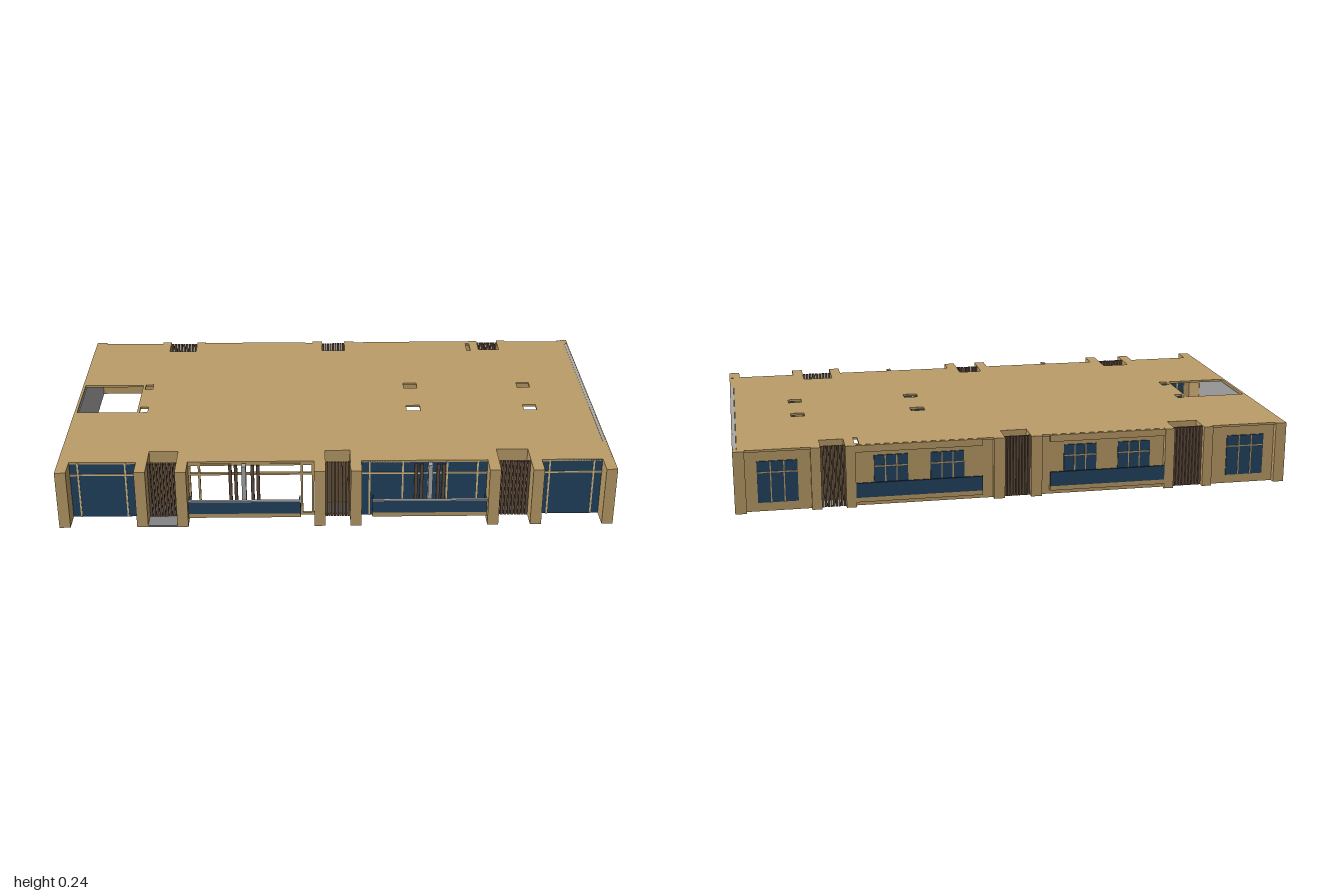
import * as THREE from 'three';

export function createModel() {
  const model = new THREE.Group();
  model.name = 'buildingStorey';
  const mat = (name, color) => {
    const m = new THREE.MeshStandardMaterial({ color });
    m.name = name;
    return m;
  };
  const tan = mat('tanRender', 0xbc9d68);
  const blue = mat('blueGlass', 0x234361);
  const brown = mat('brownLouvre', 0x5f4b3c);
  const wallGrey = mat('paleGrey', 0xaaaaaa);
  const floorGrey = mat('midGrey', 0x858585);
  const cream = mat('creamMullion', 0xd8bf86);

  const Y0 = 0.013, Y1 = 0.238, ROOF = 0.008;
  const FRONT = 0.49, BACK = -0.56, NICHE_F = 0.41, NICHE_B = -0.48;

  // Box given by its limits on each axis
  const box = (name, m, x0, x1, y0, y1, z0, z1, parent = model) => {
    const mesh = new THREE.Mesh(new THREE.BoxGeometry(x1 - x0, y1 - y0, z1 - z0), m);
    mesh.position.set((x0 + x1) / 2, (y0 + y1) / 2, (z0 + z1) / 2);
    mesh.name = name;
    parent.add(mesh);
    return mesh;
  };
  const group = (name) => {
    const g = new THREE.Group();
    g.name = name;
    model.add(g);
    return g;
  };

  // Recesses along the front and back edges
  const frontNiches = [[-0.68, -0.575], [-0.04, 0.05], [0.585, 0.70]];
  const backNiches = [[-0.685, -0.575], [-0.045, 0.05], [0.615, 0.70]];

  // Roof slab with edge notches and openings
  const outline = [[-1, FRONT]];
  for (const [a, b] of frontNiches) outline.push([a, FRONT], [a, NICHE_F], [b, NICHE_F], [b, FRONT]);
  outline.push([0.985, FRONT], [0.985, BACK]);
  for (const [a, b] of [...backNiches].reverse()) outline.push([b, BACK], [b, NICHE_B], [a, NICHE_B], [a, BACK]);
  outline.push([-1, BACK]);
  const toShape = (pts) => pts.map(([x, z]) => new THREE.Vector2(x, -z));
  const roofShape = new THREE.Shape(toShape(outline));
  const openings = [[-0.99, -0.76, -0.15, 0.09], [0.565, 0.58, -0.545, -0.47]];
  for (const [x0, x1] of [[-0.75, -0.72], [0.277, 0.33], [0.73, 0.78]]) {
    openings.push([x0, x1, -0.155, -0.11], [x0, x1, 0.045, 0.09]);
  }
  for (const [a, b, c, d] of openings) {
    roofShape.holes.push(new THREE.Path(toShape([[a, c], [b, c], [b, d], [a, d]])));
  }
  const roofGeo = new THREE.ExtrudeGeometry(roofShape, { depth: ROOF, bevelEnabled: false });
  roofGeo.rotateX(-Math.PI / 2);
  const roof = new THREE.Mesh(roofGeo, tan);
  roof.position.y = Y1 - ROOF;
  roof.name = 'roofSlab';
  model.add(roof);

  // Side walls: tan skin outside, grey lining inside
  for (const s of [-1, 1]) {
    const side = group(s > 0 ? 'leftWall' : 'rightWall');
    const span = (a, b) => (s > 0 ? [a, b] : [-b, -a]);
    box('skin', tan, ...span(0.997, 1), Y0, Y1, -0.57, 0.565, side);
    box('lining', wallGrey, ...span(0.986, 0.997), Y0, s > 0 ? Y1 - 0.001 : Y1 - ROOF, BACK, 0.35, side);
    box('frontEnd', tan, ...span(0.985, 0.997), Y0, Y1 - 0.001, 0.35, FRONT, side);
  }

  // Front piers
  const frontPiers = [[-1, -0.96], [-0.72, -0.68], [-0.575, -0.535], [-0.08, -0.04],
    [0.05, 0.09], [0.545, 0.585], [0.70, 0.74], [0.96, 1]];
  for (const [a, b] of frontPiers) box('frontPier', tan, a, b, Y0, Y1, 0.48, 0.567);

  // Louvred recess: side and back walls, floor, vertical slats
  const niche = (name, [a, b], zIn, zOut, zSlat, floorMat) => {
    const g = group(name);
    const lo = Math.min(zIn, zOut), hi = Math.max(zIn, zOut), t = 0.008, top = Y1 - ROOF;
    const d = zOut > zIn ? -t : t;
    box('cheek', tan, a - t, a, Y0, top, lo, hi, g);
    box('cheek', tan, b, b + t, Y0, top, lo, hi, g);
    box('nicheBack', tan, a - t, b + t, Y0, top, Math.min(zIn, zIn + d), Math.max(zIn, zIn + d), g);
    if (floorMat) box('nicheFloor', floorMat, a, b, Y0, Y0 + 0.006, lo, hi, g);
    const n = 9, step = (b - a) / n;
    for (let i = 0; i < n; i++) {
      const x = a + step * (i + 0.5);
      box('slat', brown, x - step * 0.4, x + step * 0.4, Y0 + 0.002, Y1 - 0.001, zSlat - 0.005, zSlat + 0.005, g);
    }
  };
  frontNiches.forEach((r) => niche('frontRecess', r, NICHE_F, FRONT, 0.497, floorGrey));
  backNiches.forEach((r, i) => niche('backRecess', r, NICHE_B, -0.55, -0.552, i < 2 ? tan : null));
  box('recessLedge', floorGrey, -0.68, -0.575, Y0, Y0 + 0.006, FRONT, 0.567);

  // Small drain outlets below the recesses
  for (const x of [-0.61, 0.64]) box('drain', floorGrey, x - 0.003, x + 0.003, 0, Y0 + 0.002, 0.447, 0.453);

  // Front glazing with mullions and a transom
  const glazing = (name, x0, x1, mullions) => {
    const g = group(name);
    box('glass', blue, x0, x1, Y0, Y1 - 0.001, 0.484, 0.49, g);
    for (const x of mullions) box('mullion', cream, x - 0.003, x + 0.003, Y0, Y1 - 0.002, 0.481, 0.493, g);
    box('transom', cream, x0, x1, 0.184, 0.19, 0.481, 0.493, g);
  };
  glazing('frontWindowRight', -0.96, -0.72, [-0.93, -0.76]);
  glazing('frontWindowLeft', 0.74, 0.96, [0.77, 0.93]);
  glazing('balconyWindow', 0.09, 0.545, [0.12, 0.24, 0.40, 0.51]);

  // Open balcony bay: bare frame around a void
  const frame = group('openBayFrame');
  for (const x of [-0.53, -0.495, -0.125, -0.085]) {
    box('framePost', tan, x - 0.004, x + 0.004, Y0, Y1 - ROOF, 0.478, 0.488, frame);
  }
  for (const y of [0.018, 0.185, 0.224]) box('frameRail', tan, -0.535, -0.08, y - 0.004, y + 0.004, 0.478, 0.488, frame);

  // Front balconies: slab, blue parapet, divider and louvre posts
  for (const [a, b] of [[-0.535, -0.13], [0.13, 0.545]]) {
    const g = group('frontBalcony');
    const c = (a + b) / 2;
    box('balconySlab', tan, a, b, 0.03, 0.047, FRONT, 0.533, g);
    box('parapet', blue, a, b, 0.047, 0.096, 0.529, 0.535, g);
    box('rail', wallGrey, a, b, 0.096, 0.1, 0.526, 0.537, g);
    box('parapetEnd', blue, a, a + 0.005, 0.047, 0.096, FRONT, 0.53, g);
    box('parapetEnd', blue, b - 0.005, b, 0.047, 0.096, FRONT, 0.53, g);
    box('divider', wallGrey, c - 0.008, c + 0.008, 0.047, Y1 - 0.001, 0.503, 0.528, g);
    for (const dx of [-0.05, -0.03, 0.03, 0.05]) {
      box('louvrePost', brown, c + dx - 0.006, c + dx + 0.006, 0.047, Y1 - 0.012, 0.494, 0.502, g);
    }
  }

  // Back wall panels between the recesses
  const backEdges = [-0.985, -0.685, -0.575, -0.045, 0.05, 0.615, 0.70, 0.985];
  for (let i = 0; i < backEdges.length; i += 2) {
    box('backWall', tan, backEdges[i], backEdges[i + 1], Y0, Y1 - ROOF, -0.552, -0.54);
  }

  // Back piers
  const backPiers = [[-1, -0.96], [-0.72, -0.685], [-0.575, -0.54], [-0.085, -0.045],
    [0.05, 0.09], [0.58, 0.615], [0.70, 0.735], [0.96, 1]];
  for (const [a, b] of backPiers) box('backPier', tan, a, b, Y0, Y1, -0.572, -0.54);

  // Back windows: blue plate with thin bars
  const backWindow = (x0, x1, y0, y1, bars) => {
    const g = group('backWindow');
    box('pane', blue, x0, x1, y0, y1, -0.556, -0.551, g);
    for (let i = 1; i < bars; i++) {
      const x = x0 + ((x1 - x0) * i) / bars;
      box('bar', tan, x - 0.002, x + 0.002, y0, y1, -0.558, -0.555, g);
    }
    box('bar', tan, x0, x1, y1 - 0.042, y1 - 0.038, -0.558, -0.555, g);
  };
  backWindow(-0.92, -0.78, 0.045, 0.195, 3);
  backWindow(0.78, 0.92, 0.045, 0.195, 3);

  // Back balconies with a pair of windows each
  for (const [a, b] of [[-0.54, -0.115], [0.13, 0.58]]) {
    const c = (a + b) / 2;
    const g = group('backBalcony');
    box('balconySlab', tan, a, b, 0.03, 0.047, -0.57, -0.55, g);
    box('parapet', blue, a, b, 0.047, 0.1, -0.572, -0.566, g);
    box('lintel', tan, a, b, 0.212, Y1 - 0.001, -0.568, -0.55, g);
    backWindow(c - 0.16, c - 0.04, 0.05, 0.195, 3);
    backWindow(c + 0.04, c + 0.16, 0.05, 0.195, 3);
  }

  return model;
}
